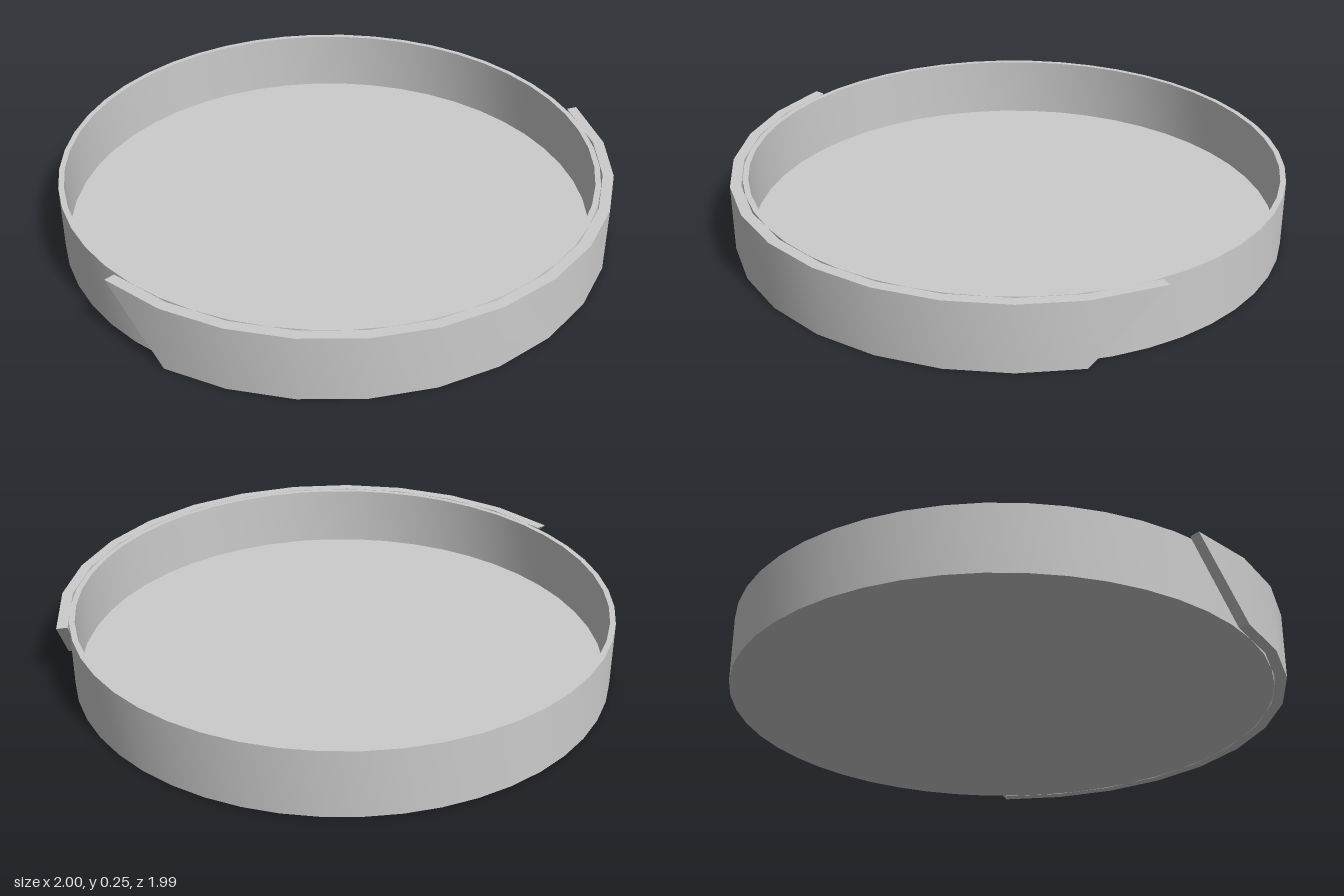
import * as THREE from 'three';
import { toCreasedNormals } from 'three/addons/utils/BufferGeometryUtils.js';

const HEIGHT = 0.245;
const CENTRE_Z = -0.025;

// Curved strip with slanted ends: a ring of four corners is swept round the dish.
function bandGeometry(outer, inner) {
  const first = 28, last = 155.5, steps = 10;
  const columns = [[first, 13]]; // [bottom angle, top angle] in degrees
  for (let i = 0; i <= steps; i++) {
    const a = first + (last - first) * i / steps;
    columns.push([a, a]);
  }
  columns.push([last, 169]);

  const positions = [], indices = [];
  const corner = (r, deg, y) => {
    const a = THREE.MathUtils.degToRad(deg);
    positions.push(r * Math.cos(a), y, r * Math.sin(a));
  };
  for (const [low, high] of columns) {
    corner(outer, low, 0);
    corner(outer, high, HEIGHT);
    corner(inner, high, HEIGHT);
    corner(inner, low, 0);
  }
  const quad = (a, b, c, d) => indices.push(a, b, c, a, c, d);
  for (let i = 0; i < columns.length - 1; i++) {
    for (let k = 0; k < 4; k++) {
      const n = (k + 1) % 4, p = i * 4, q = p + 4;
      quad(p + k, p + n, q + n, q + k);
    }
  }
  const e = (columns.length - 1) * 4;
  quad(0, 3, 2, 1);
  quad(e, e + 1, e + 2, e + 3);

  const geometry = new THREE.BufferGeometry();
  geometry.setAttribute('position', new THREE.Float32BufferAttribute(positions, 3));
  geometry.setIndex(indices);
  return toCreasedNormals(geometry, 0.6);
}

export function createModel() {
  const group = new THREE.Group();
  group.name = 'roundTray';
  const material = new THREE.MeshStandardMaterial({ color: 0xcccccc });
  const add = (name, geometry) => {
    const mesh = new THREE.Mesh(geometry, material);
    mesh.name = name;
    mesh.position.z = CENTRE_Z;
    group.add(mesh);
  };

  // Shallow round dish with a thin wall and floor
  const profile = [
    [0, 0], [0.975, 0], [0.975, HEIGHT], [0.955, HEIGHT], [0.955, 0.02], [0, 0.02],
  ].map(([x, y]) => new THREE.Vector2(x, y));
  add('dish', toCreasedNormals(new THREE.LatheGeometry(profile, 48), 0.6));

  // Outer band hugging the front half
  add('frontBand', bandGeometry(1.02, 0.981));

  return group;
}
